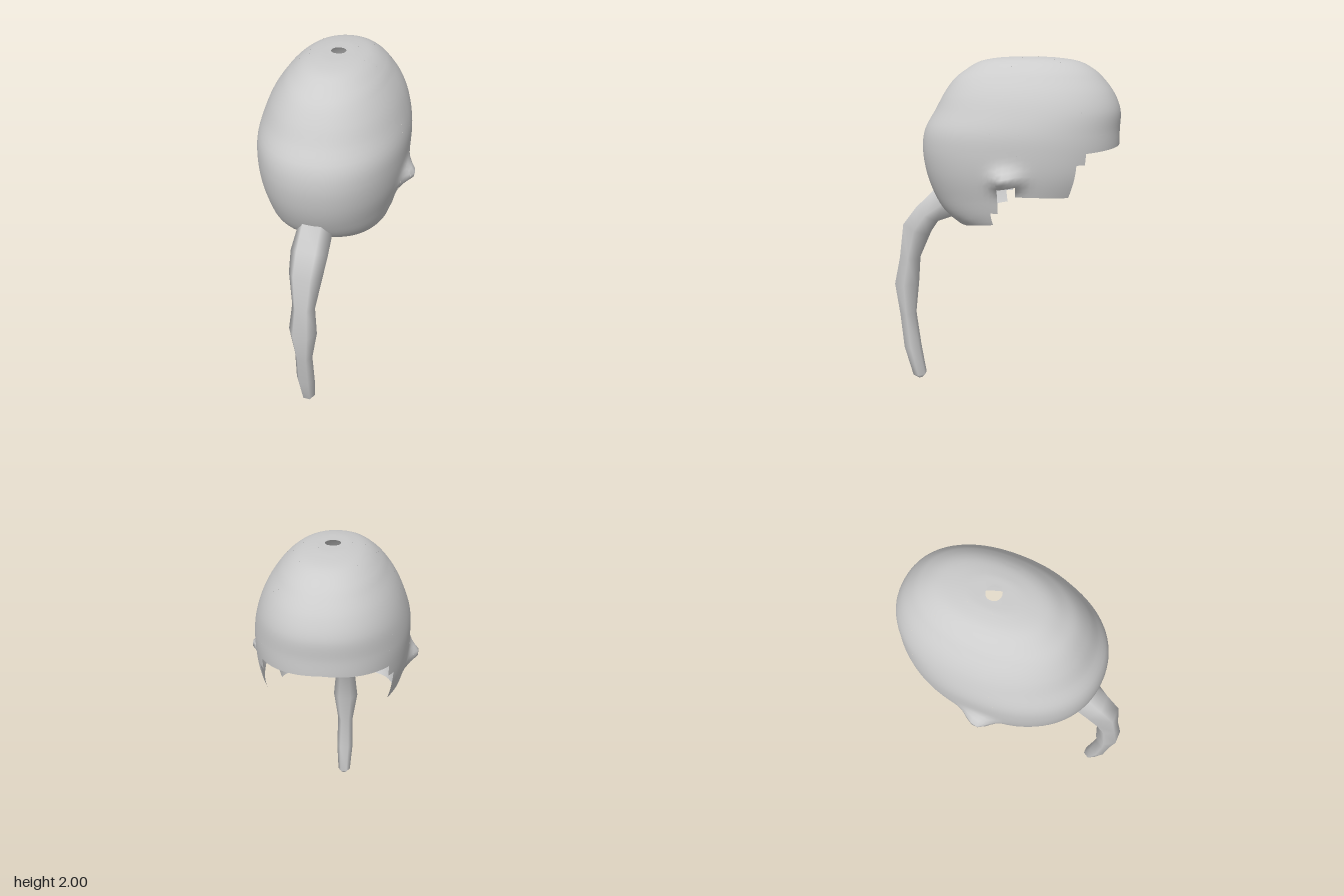
import * as THREE from 'three';

const V = (x, y, z) => new THREE.Vector3(x, y, z);

// Cap cross-sections from crown opening to nape: height, front z, back z, half width
const SECTIONS = [
  [2.0, -0.095, -0.175, 0.04], [1.996, 0.02, -0.29, 0.10], [1.973, 0.14, -0.43, 0.18],
  [1.93, 0.215, -0.51, 0.24], [1.88, 0.28, -0.565, 0.285], [1.8, 0.34, -0.625, 0.34],
  [1.71, 0.39, -0.66, 0.38], [1.6, 0.453, -0.66, 0.41], [1.5, 0.47, -0.66, 0.415],
  [1.37, 0.456, -0.64, 0.405], [1.24, 0.414, -0.58, 0.375], [1.13, 0.35, -0.5, 0.345],
  [1.05, 0.25, -0.4, 0.31],
];
const depthCurve = new THREE.CatmullRomCurve3(SECTIONS.map(([y, f, b]) => V(f, y, b)));
const widthCurve = new THREE.CatmullRomCurve3(SECTIONS.map(([y, , , w]) => V(w, y, 0)));

// Stepped lower edge of one side: angle from the front in degrees, height
const RIM = [
  [0, 1.057], [45, 1.07], [78, 1.10], [78, 1.17], [83, 1.17], [83, 1.31], [92, 1.33],
  [92, 1.27], [125, 1.26], [125, 1.44], [131, 1.44], [131, 1.50], [180, 1.525],
];

// Point on the cap, with a small flare over each ear
function capPoint(phi, t) {
  const d = depthCurve.getPoint(t), w = widthCurve.getPoint(t).x;
  const round = (v) => Math.sign(v) * Math.pow(Math.abs(v), 0.92);
  const deg = Math.abs(phi) * 180 / Math.PI;
  const ear = 0.07 * Math.exp(-(((deg - 87) / 7) ** 2) - ((d.y - 1.36) / 0.055) ** 2);
  const x = w * round(Math.sin(phi)) + Math.sign(phi) * ear - 0.008;
  return V(x, d.y, (d.x + d.z) / 2 + (d.x - d.z) / 2 * round(Math.cos(phi)));
}

function levelAt(y) {
  let lo = 0, hi = 1;
  for (let i = 0; i < 30; i++) {
    const mid = (lo + hi) / 2;
    if (depthCurve.getPoint(mid).y > y) lo = mid; else hi = mid;
  }
  return hi;
}

function capGeometry() {
  // Columns follow the stepped edge, mirrored to both sides
  const half = [];
  for (let i = 0; i < RIM.length - 1; i++) {
    const [a, ya] = RIM[i], [b, yb] = RIM[i + 1];
    const n = Math.max(1, Math.ceil((b - a) / 4));
    for (let k = 0; k < n; k++) half.push([a + (b - a) * k / n, ya + (yb - ya) * k / n]);
  }
  half.push(RIM[RIM.length - 1]);
  const columns = [...half.slice(1).reverse().map(([a, y]) => [-a, y]), ...half];

  const rows = 44, pos = [], nor = [], index = [], e = 0.004;
  columns.forEach(([deg, yRim], i) => {
    const phi = deg * Math.PI / 180, end = levelAt(yRim);
    for (let j = 0; j <= rows; j++) {
      const t = end * j / rows;
      const t0 = Math.max(0, t - e), t1 = Math.min(1, t + e);
      const down = capPoint(phi, t1).sub(capPoint(phi, t0));
      const around = capPoint(phi + 0.02, t).sub(capPoint(phi - 0.02, t));
      pos.push(...capPoint(phi, t).toArray());
      nor.push(...down.cross(around).normalize().toArray());
      if (j < rows && i < columns.length - 1 && columns[i + 1][0] > deg) {
        const a = i * (rows + 1) + j, c = a + rows + 1;
        index.push(a, a + 1, c, c, a + 1, c + 1);
      }
    }
  });
  const g = new THREE.BufferGeometry();
  g.setAttribute('position', new THREE.Float32BufferAttribute(pos, 3));
  g.setAttribute('normal', new THREE.Float32BufferAttribute(nor, 3));
  g.setIndex(index);
  return g;
}

// Six-sided braid rings: outer z, outer y, inner z, inner y, half width
const BRAID = [
  [0.36, 1.25, 0.25, 1.09, 0.09], [0.40, 1.245, 0.29, 1.085, 0.10], [0.52, 1.13, 0.40, 1.045, 0.105],
  [0.605, 1.02, 0.456, 0.96, 0.095], [0.637, 0.81, 0.525, 0.80, 0.066], [0.672, 0.64, 0.54, 0.64, 0.082],
  [0.65, 0.44, 0.56, 0.44, 0.052], [0.63, 0.22, 0.535, 0.22, 0.056], [0.58, 0.027, 0.504, 0.035, 0.042],
  [0.558, 0.008, 0.526, 0.008, 0.02],
];

function braidGeometry() {
  const sides = 6, pos = [], index = [];
  BRAID.forEach(([zo, yo, zi, yi, rx], i) => {
    for (let j = 0; j < sides; j++) {
      const a = j / sides * Math.PI * 2, u = Math.sin(a) / 1.732;
      pos.push(rx * Math.cos(a) - 0.005, (yo + yi) / 2 + (yo - yi) * u, (zo + zi) / 2 + (zo - zi) * u);
      if (i < BRAID.length - 1) {
        const p = i * sides + j, q = i * sides + (j + 1) % sides;
        index.push(p, q, p + sides, q, q + sides, p + sides);
      }
    }
  });
  // Close the tip
  const last = (BRAID.length - 1) * sides;
  pos.push(-0.005, 0, 0.542);
  for (let j = 0; j < sides; j++) index.push(last + j, last + (j + 1) % sides, last + sides);
  const g = new THREE.BufferGeometry();
  g.setAttribute('position', new THREE.Float32BufferAttribute(pos, 3));
  g.setIndex(index);
  g.computeVertexNormals();
  return g;
}

export function createModel() {
  const grey = new THREE.MeshStandardMaterial({ color: 0xcccccc, side: THREE.DoubleSide });
  grey.name = 'light grey';

  const model = new THREE.Group();
  model.name = 'braidedHair';
  const add = (name, geometry) => {
    const mesh = new THREE.Mesh(geometry, grey);
    mesh.name = name;
    model.add(mesh);
  };
  add('hairCap', capGeometry());
  add('braid', braidGeometry());
  return model;
}
